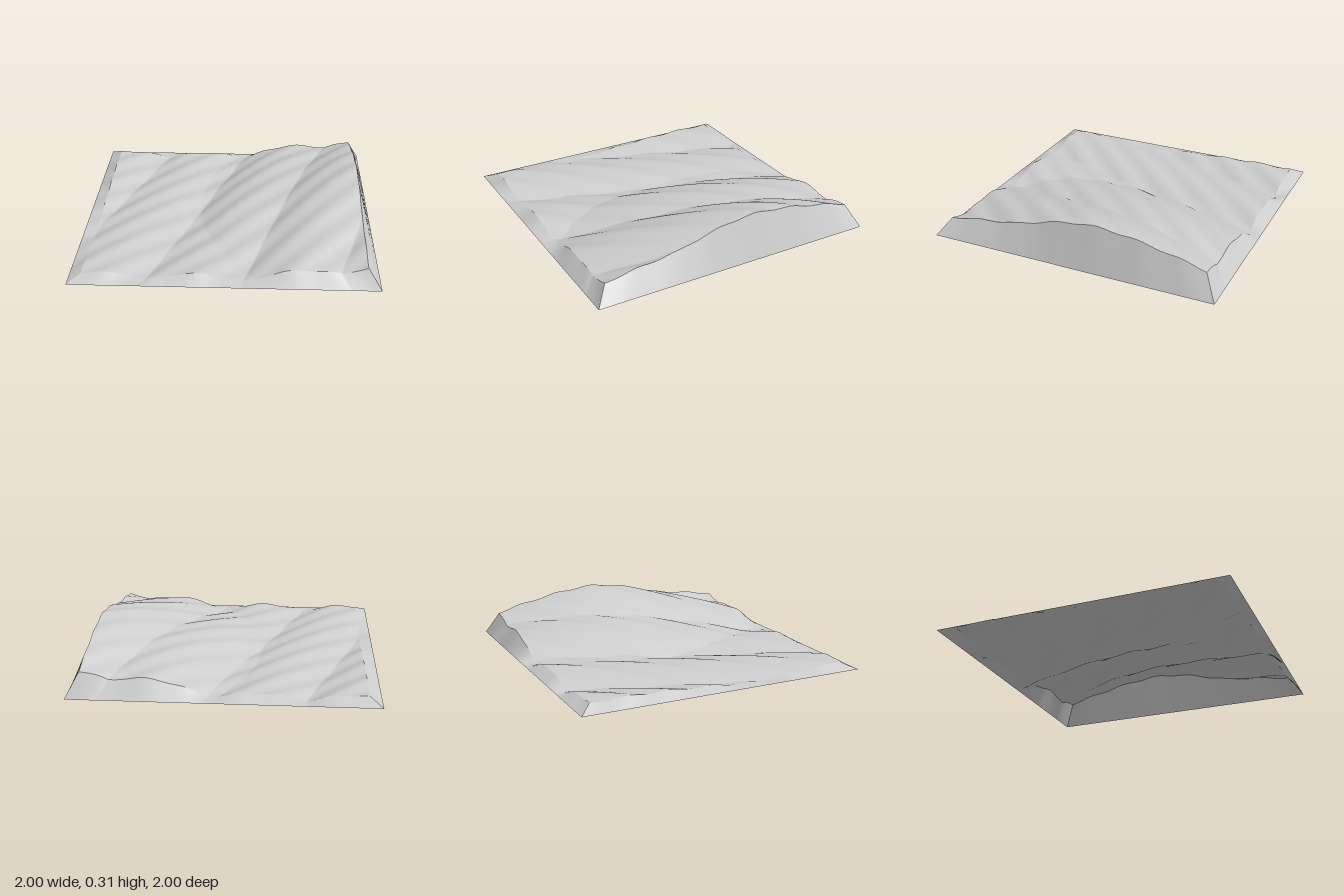
import * as THREE from 'three';

const INNER = 0.915; // half width of the dune surface
const RIM = 0.015;   // height of the outer rim
const SEG = 180;

// Height of the terrain: slanted dunes with sharp troughs, fine ripples and a broad hill
function heightAt(x, z) {
  const u = (x + 0.2 + 0.33 * z) / 0.625;
  const dune = 0.05 * Math.abs(Math.sin(Math.PI * u));
  const ripple = -0.006 * Math.cos((2 * Math.PI * (x + z - 0.02)) / 0.29);
  const d = Math.sqrt((x - 1.1) ** 2 + (0.93 * (z + 0.1)) ** 2 + 0.02);
  const hill = Math.max(0, 0.315 - 0.24 * d);
  return 0.012 + dune + ripple + hill;
}

export function createModel() {
  const group = new THREE.Group();
  group.name = 'duneTerrain';
  const sand = new THREE.MeshStandardMaterial({ color: 0xcccccc, side: THREE.DoubleSide });
  sand.name = 'paleGrey';

  // Dune surface
  const surface = new THREE.PlaneGeometry(2 * INNER, 2 * INNER, SEG, SEG);
  surface.rotateX(-Math.PI / 2);
  const p = surface.attributes.position;
  for (let i = 0; i < p.count; i++) p.setY(i, heightAt(p.getX(i), p.getZ(i)));
  surface.computeVertexNormals();
  const dunes = new THREE.Mesh(surface, sand);
  dunes.name = 'dunes';
  group.add(dunes);

  // Sloping skirts from the surface edge out to the flat rim, open underneath
  ['front', 'left', 'back', 'right'].forEach((side, k) => {
    const angle = (k * Math.PI) / 2;
    const c = Math.cos(angle), s = Math.sin(angle);
    const strip = new THREE.PlaneGeometry(2, 1, SEG, 1);
    const q = strip.attributes.position;
    for (let i = 0; i < q.count; i++) {
      const top = q.getY(i) > 0;
      const r = top ? INNER : 1;
      const t = q.getX(i) * r;
      const x = t * c + r * s, z = r * c - t * s;
      q.setXYZ(i, x, top ? heightAt(x, z) : RIM, z);
    }
    strip.computeVertexNormals();
    const skirt = new THREE.Mesh(strip, sand);
    skirt.name = side + 'Skirt';
    group.add(skirt);
  });

  return group;
}
